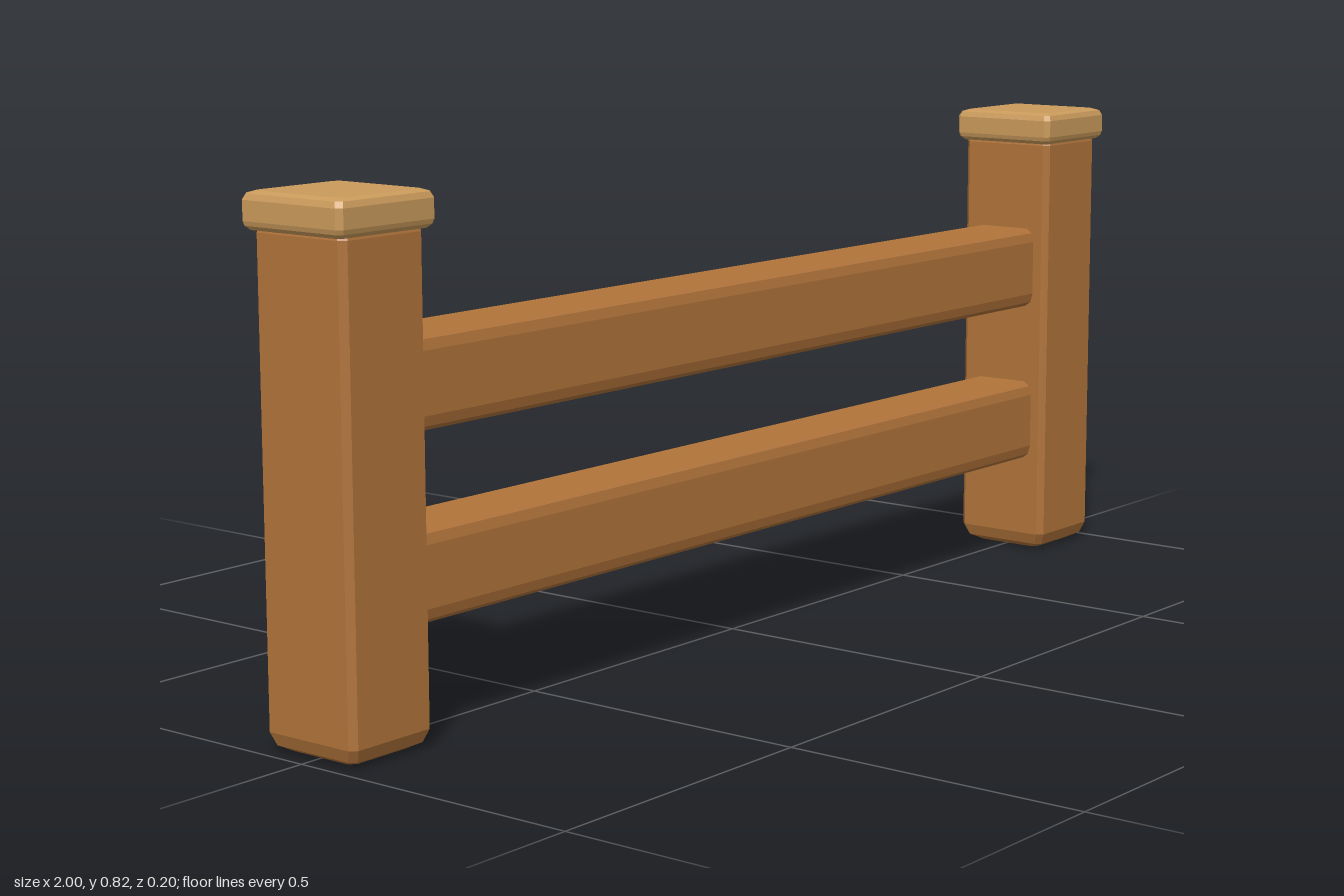
import * as THREE from 'three';

// Bevelled rectangle outline; insets run from the x side to the z side of a corner
function outline(y, hx, hz, insets) {
  const points = [];
  [[1, 1], [-1, 1], [-1, -1], [1, -1]].forEach(([sx, sz], i) => {
    const corner = i % 2 ? [...insets].reverse() : insets;
    corner.forEach(([dx, dz]) => points.push([sx * (hx - dx), y, sz * (hz - dz)]));
  });
  return points;
}

// Closed, flat-faced solid through rings of [y, halfX, halfZ]
function bevelledSolid(rings, insets) {
  const loops = rings.map(([y, hx, hz]) => outline(y, hx, hz, insets));
  const n = loops[0].length;
  const last = loops.length - 1;
  const bottom = [0, rings[0][0], 0];
  const top = [0, rings[last][0], 0];
  const out = [];
  for (let i = 0; i < n; i++) {
    const j = (i + 1) % n;
    for (let k = 0; k < last; k++) {
      const p = loops[k], q = loops[k + 1];
      out.push(...p[i], ...q[i], ...p[j], ...p[j], ...q[i], ...q[j]);
    }
    out.push(...bottom, ...loops[0][i], ...loops[0][j]);
    out.push(...top, ...loops[last][j], ...loops[last][i]);
  }
  const geometry = new THREE.BufferGeometry();
  geometry.setAttribute('position', new THREE.Float32BufferAttribute(out, 3));
  geometry.computeVertexNormals();
  return geometry;
}

export function createModel() {
  const group = new THREE.Group();
  group.name = 'fence';
  const wood = new THREE.MeshStandardMaterial({ color: 0xb0733a });
  wood.name = 'brown wood';
  const paleWood = new THREE.MeshStandardMaterial({ color: 0xca9a5b });
  paleWood.name = 'pale wood';

  const add = (name, geometry, material, x, y) => {
    const mesh = new THREE.Mesh(geometry, material);
    mesh.name = name;
    mesh.position.set(x, y, 0);
    group.add(mesh);
  };

  // Posts with rounded feet, and their caps
  const post = bevelledSolid([
    [0, 0.058, 0.062], [0.01, 0.076, 0.082], [0.03, 0.083, 0.09],
    [0.758, 0.083, 0.09], [0.77, 0.079, 0.086],
  ], [[0, 0.01], [0.01, 0]]);
  const cap = bevelledSolid([
    [0.762, 0.09, 0.092], [0.768, 0.096, 0.098], [0.775, 0.098, 0.1],
    [0.805, 0.098, 0.1], [0.814, 0.094, 0.096], [0.818, 0.083, 0.085],
  ], [[0, 0.008], [0.008, 0]]);
  for (const side of [1, -1]) {
    const label = side > 0 ? 'left' : 'right';
    add(label + 'Post', post, wood, side * 0.902, 0);
    add(label + 'PostCap', cap, paleWood, side * 0.902, 0);
  }

  // Horizontal rails running into the posts
  const rail = bevelledSolid(
    [[-0.84, 0.072, 0.063], [0.84, 0.072, 0.063]],
    [[0, 0.024], [0.004, 0.008], [0.015, 0]].map(([y, z]) => [z, y]).reverse(),
  ).rotateZ(Math.PI / 2);
  add('lowerRail', rail, wood, 0, 0.246);
  add('upperRail', rail, wood, 0, 0.532);
  return group;
}
